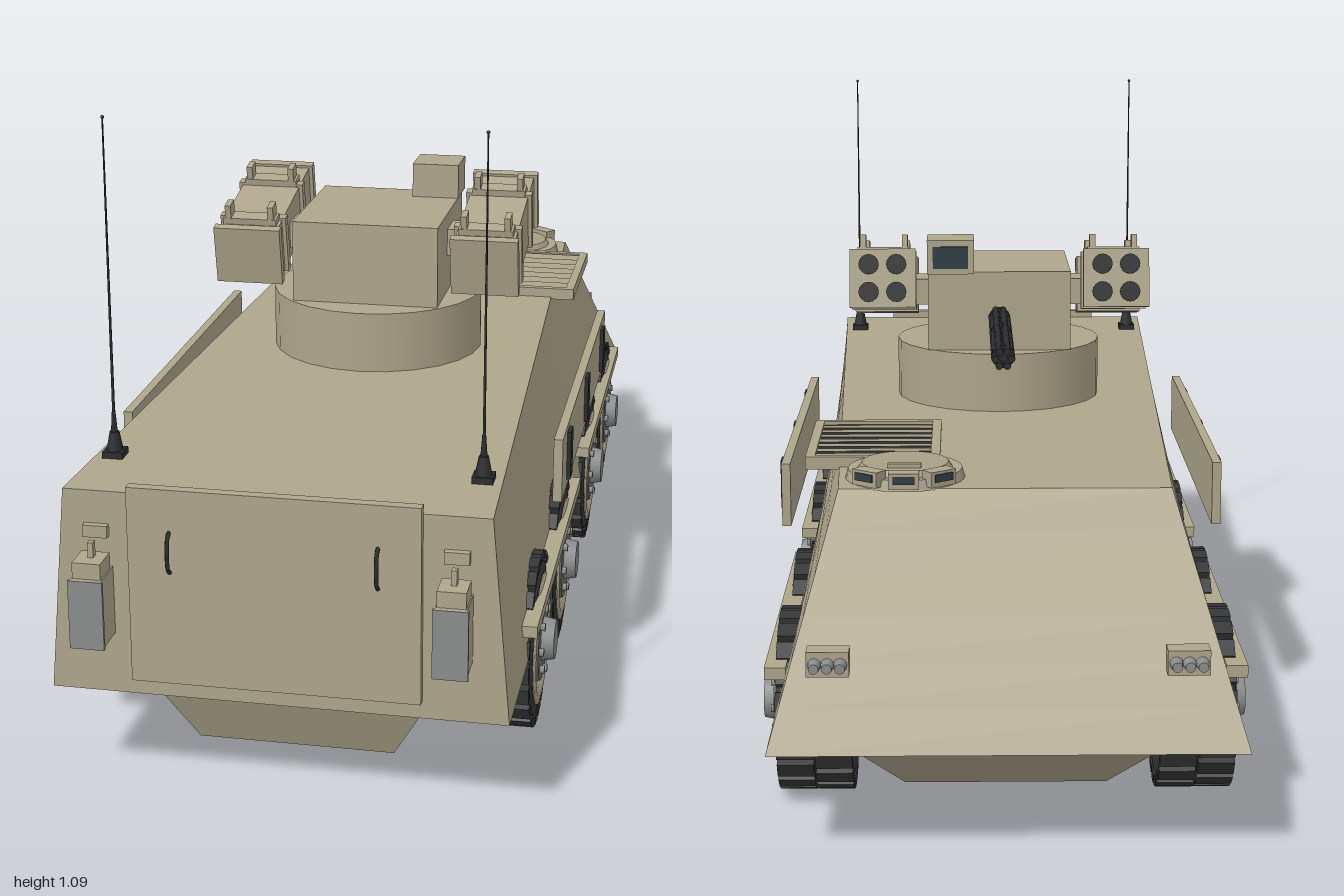
import * as THREE from 'three';

const mat = (c) => new THREE.MeshStandardMaterial({ color: c });
const tan = mat(0xaea58b), pale = mat(0xa89f86), dark = mat(0x2c2d2e), rubber = mat(0x363738);
const steel = mat(0x8b8e8e), glass = mat(0x2f3d45), grey = mat(0x6f6e66);

function add(parent, name, geo, material, x = 0, y = 0, z = 0) {
  const m = new THREE.Mesh(geo, material);
  m.name = name;
  m.position.set(x, y, z);
  parent.add(m);
  return m;
}
const box = (p, name, m, w, h, d, x, y, z) => add(p, name, new THREE.BoxGeometry(w, h, d), m, x, y, z);
const cyl = (r1, r2, h, n = 24) => new THREE.CylinderGeometry(r1, r2, h, n);
function group(parent, name, x = 0, y = 0, z = 0) {
  const g = new THREE.Group();
  g.name = name;
  g.position.set(x, y, z);
  parent.add(g);
  return g;
}

// Tapered hull block: c(y, z) gives half width and z for each end of bottom (0) and top (1)
function taperedBlock(y0, y1, bottom, top) {
  const g = new THREE.BoxGeometry(2, 1, 1, 1, 6, 6), p = g.attributes.position;
  const lerp = THREE.MathUtils.lerp;
  for (let i = 0; i < p.count; i++) {
    const v = p.getY(i) + 0.5, u = p.getZ(i) + 0.5;
    const w = lerp(lerp(bottom.frontW, bottom.rearW, u), lerp(top.frontW, top.rearW, u), v);
    const z = lerp(lerp(bottom.front, bottom.rear, u), lerp(top.front, top.rear, u), v);
    p.setXYZ(i, p.getX(i) * w, lerp(y0, y1, v), z);
  }
  g.computeVertexNormals();
  return g;
}

// Wheel with its outer side towards +x
function makeWheel(parent, side, z) {
  const w = group(parent, 'wheel', side * 0.312, 0.153, z);
  if (side < 0) w.rotation.y = Math.PI;
  const profile = [[0, -0.05], [0.09, -0.06], [0.13, -0.06], [0.14, -0.045], [0.143, 0], [0.14, 0.045],
    [0.132, 0.061], [0.115, 0.064], [0.11, 0.05]].map(([r, x]) => new THREE.Vector2(r, x));
  const tyre = new THREE.LatheGeometry(profile, 40);
  tyre.rotateZ(-Math.PI / 2);
  add(w, 'tyre', tyre, rubber);
  // Two staggered rows of tread blocks
  for (let i = 0; i < 44; i++) {
    const a = (i / 44) * Math.PI * 2, row = i % 2 ? 1 : -1;
    const lug = box(w, 'treadBlock', rubber, 0.06, 0.016, 0.031,
      row * 0.0315, Math.cos(a) * 0.144, Math.sin(a) * 0.144);
    lug.rotation.x = a;
  }
  const rim = new THREE.LatheGeometry([[0.114, 0.05], [0.114, 0.066], [0.1, 0.068], [0.085, 0.064], [0.08, 0.052], [0, 0.052]]
    .map(([r, x]) => new THREE.Vector2(r, x)), 32);
  rim.rotateZ(-Math.PI / 2);
  const rimMesh = add(w, 'rim', rim, tan);
  rimMesh.material = new THREE.MeshStandardMaterial({ color: 0xaea58b, side: THREE.DoubleSide });
  add(w, 'wheelDisc', cyl(0.072, 0.08, 0.016).rotateZ(-Math.PI / 2), grey, 0.06);
  add(w, 'hub', cyl(0.034, 0.04, 0.03, 16).rotateZ(-Math.PI / 2), steel, 0.075);
  for (let i = 0; i < 8; i++) {
    const a = (i / 8) * Math.PI * 2;
    add(w, 'wheelBolt', cyl(0.007, 0.007, 0.01, 6).rotateZ(-Math.PI / 2), steel,
      0.071, Math.cos(a) * 0.056, Math.sin(a) * 0.056);
  }
}

// Missile pod, tilted nose-up towards -z
function makePod(parent, side) {
  const pod = group(parent, 'missilePod', side * 0.22, 0.745, 0.063);
  pod.rotation.x = 0.205;
  box(pod, 'podBody', tan, 0.11, 0.1, 0.3, 0, 0, 0);
  for (const z of [-0.143, -0.055, 0.09, 0.143]) box(pod, 'podBand', tan, 0.124, 0.11, 0.018, 0, 0, z);
  for (const x of [-0.026, 0.026]) for (const y of [-0.026, 0.026])
    add(pod, 'launchTube', cyl(0.019, 0.019, 0.012, 16).rotateX(Math.PI / 2), dark, x, y, -0.149);
  for (const z of [-0.06, 0.11]) {
    box(pod, 'podStrap', tan, 0.1, 0.012, 0.03, 0, 0.057, z);
    for (const x of [-0.04, 0.04]) box(pod, 'liftingLug', tan, 0.011, 0.035, 0.028, x, 0.07, z);
  }
  box(parent, 'podArm', tan, 0.06, 0.05, 0.07, side * 0.145, 0.73, 0.07);
}

export function createModel() {
  const model = new THREE.Group();
  model.name = 'armouredCarrier';

  // Hull
  const hull = group(model, 'hull');
  add(hull, 'upperHull', taperedBlock(0.18, 0.525,
    { front: -0.995, rear: 0.93, frontW: 0.372, rearW: 0.372 },
    { front: -0.7, rear: 0.93, frontW: 0.272, rearW: 0.342 }), tan);
  add(hull, 'lowerHull', taperedBlock(0.043, 0.181,
    { front: -0.76, rear: 0.8, frontW: 0.165, rearW: 0.165 },
    { front: -0.97, rear: 0.86, frontW: 0.24, rearW: 0.24 }), tan);

  // Rear door with two handles
  box(hull, 'rearDoor', tan, 0.468, 0.33, 0.018, 0, 0.375, 0.936);

  for (const s of [-1, 1]) {
    const handle = new THREE.CatmullRomCurve3([[0.4, 0.942], [0.41, 0.955], [0.46, 0.955], [0.47, 0.942]]
      .map(([y, z]) => new THREE.Vector3(s * 0.166, y, z)));
    add(hull, 'doorHandle', new THREE.TubeGeometry(handle, 12, 0.0035, 6), dark);

    // Wheels and fenders
    for (const z of [0.55, 0.2, -0.3, -0.65]) makeWheel(model, s, z);
    for (const [z0, z1] of [[0.04, 0.725], [-0.8, -0.125]])
      box(model, 'fender', tan, 0.035, 0.02, z1 - z0, s * 0.372, 0.245, (z0 + z1) / 2);

    // Side armour with vision slots
    box(model, 'sideArmour', tan, 0.016, 0.115, 0.785, s * 0.387, 0.422, 0.052);
    for (const z of [0.355, 0.05, -0.255])
      box(model, 'visionSlot', dark, 0.012, 0.088, 0.036, s * 0.396, 0.424, z);

    // Fuel can on the rear wall
    const can = group(model, 'fuelCan', s * 0.288, 0, 0.965);
    box(can, 'canBody', tan, 0.05, 0.115, 0.066, 0, 0.342, 0);
    box(can, 'canFace', steel, 0.056, 0.115, 0.006, 0, 0.342, 0.032);
    box(can, 'canTop', tan, 0.046, 0.028, 0.05, 0, 0.412, 0);
    box(can, 'canSpout', tan, 0.009, 0.026, 0.012, 0, 0.438, -0.005);
    box(can, 'canBracket', tan, 0.04, 0.02, 0.02, 0, 0.46, -0.033);

    // Whip antenna
    const ant = group(model, 'antenna', s * 0.304, 0, 0.775);
    box(ant, 'antennaFoot', dark, 0.034, 0.012, 0.034, 0, 0.53, 0);
    add(ant, 'antennaBase', cyl(0.008, 0.015, 0.036, 12), dark, 0, 0.549);
    add(ant, 'antennaSpring', cyl(0.003, 0.006, 0.04, 8), dark, 0, 0.583);
    add(ant, 'antennaRod', cyl(0.0013, 0.0025, 0.49, 6), dark, 0, 0.843);
    add(ant, 'antennaTip', new THREE.SphereGeometry(0.003, 8, 6), dark, 0, 1.088);

    // Headlamp on the nose slope
    const lamp = group(model, 'headlamp', s * 0.277, 0.315, -0.945);
    box(lamp, 'lampBody', tan, 0.066, 0.04, 0.034, 0, 0, 0);
    box(lamp, 'lampMount', tan, 0.02, 0.014, 0.06, 0, -0.012, 0.03);
    for (const x of [-0.02, 0, 0.02])
      add(lamp, 'lampLens', cyl(0.008, 0.011, 0.024, 12).rotateX(-Math.PI / 2), steel, x, 0, -0.026);
  }

  // Engine grille
  const grille = group(model, 'engineGrille', 0.222, 0.532, -0.408);
  box(grille, 'grilleBed', dark, 0.21, 0.01, 0.27, 0, 0, 0);
  for (const s of [-1, 1]) {
    box(grille, 'grilleSide', tan, 0.016, 0.022, 0.288, s * 0.106, 0, 0);
    box(grille, 'grilleEnd', tan, 0.228, 0.022, 0.014, 0, 0, s * 0.137);
  }
  for (let i = 0; i < 7; i++) {
    const slat = box(grille, 'grilleSlat', pale, 0.2, 0.005, 0.022, 0, 0.006, -0.108 + i * 0.036);
    slat.rotation.x = 0.25;
  }

  // Crew hatch with periscopes
  const hatch = group(model, 'crewHatch', 0.165, 0.525, -0.615);
  add(hatch, 'hatchRing', cyl(0.095, 0.1, 0.018, 32), tan, 0, 0.007);
  add(hatch, 'hatchLid', cyl(0.072, 0.08, 0.012, 32), pale, 0, 0.02);
  box(hatch, 'hatchHandle', tan, 0.055, 0.008, 0.01, 0, 0.029, -0.045);
  for (const a of [-0.65, 0, 0.65]) {
    const scope = group(hatch, 'periscope', Math.sin(a) * 0.094, 0.017, -Math.cos(a) * 0.094);
    scope.rotation.y = -a;
    box(scope, 'periscopeBody', tan, 0.05, 0.026, 0.026, 0, 0, 0);
    box(scope, 'periscopeGlass', glass, 0.036, 0.013, 0.004, 0, 0.002, -0.013);
  }

  // Turret
  const turret = group(model, 'turret');
  add(turret, 'turretRing', cyl(0.196, 0.196, 0.112, 24), tan, 0, 0.579, 0.08);
  box(turret, 'turretBody', tan, 0.27, 0.15, 0.285, 0, 0.71, 0.072);
  box(turret, 'sightHousing', tan, 0.088, 0.064, 0.085, 0.092, 0.817, -0.058);
  box(turret, 'sightGlass', glass, 0.066, 0.042, 0.006, 0.092, 0.816, -0.1);
  for (const s of [-1, 1]) makePod(turret, s);

  // Rotary gun
  const gun = group(turret, 'gun', 0, 0.7, -0.28);
  for (let i = 0; i < 6; i++) {
    const a = (i / 6) * Math.PI * 2;
    add(gun, 'barrel', cyl(0.0065, 0.0065, 0.44, 8).rotateX(Math.PI / 2), dark, Math.cos(a) * 0.014, Math.sin(a) * 0.014, 0);
  }
  for (const z of [0.19, 0.02, -0.19])
    add(gun, 'barrelClamp', cyl(0.02, 0.02, 0.014, 12).rotateX(Math.PI / 2), dark, 0, 0, z);
  return model;
}
